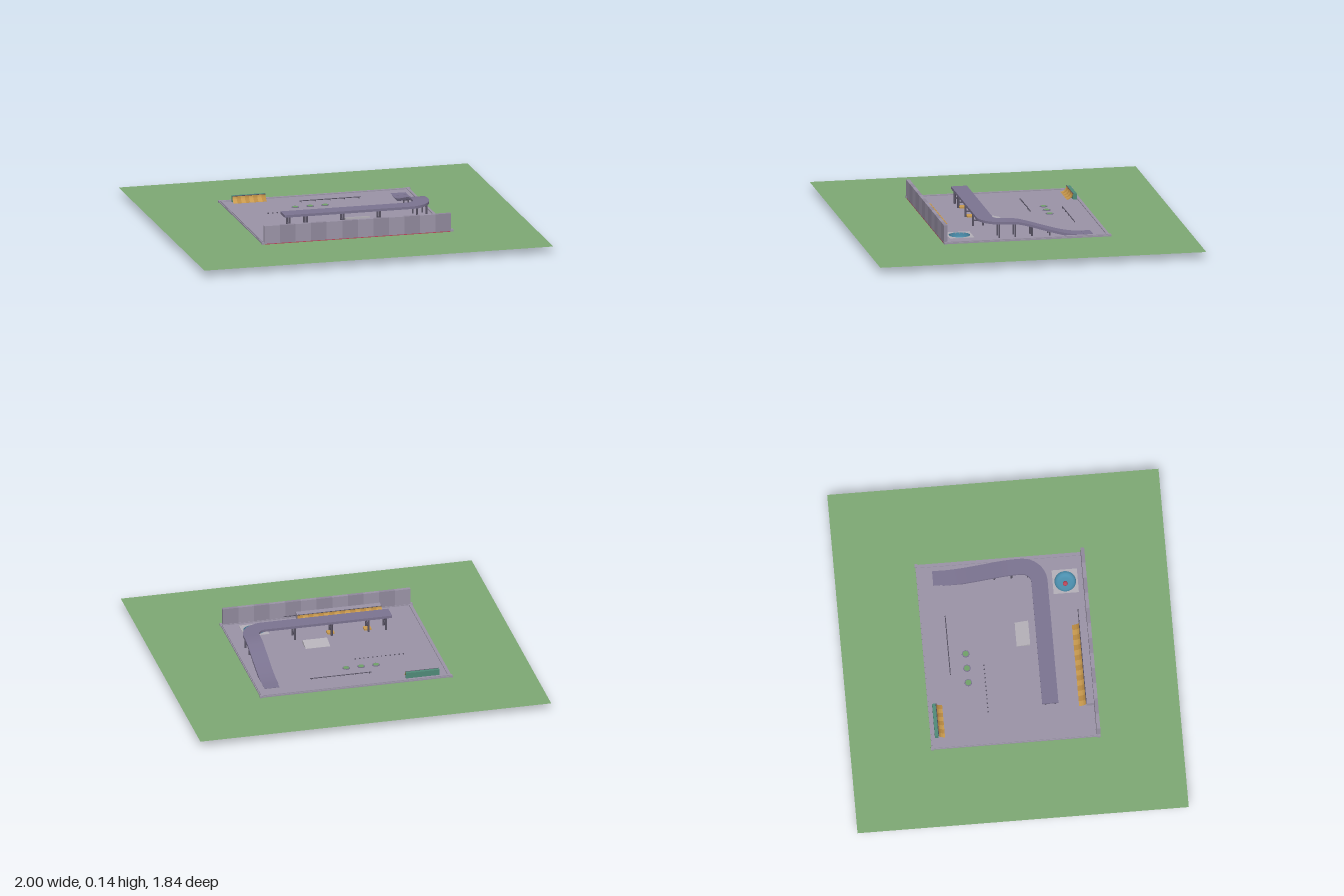
import * as THREE from 'three';
import { toCreasedNormals } from 'three/addons/utils/BufferGeometryUtils.js';

const mat = (color, side = THREE.FrontSide) => new THREE.MeshStandardMaterial({ color, side });
const V = (x, y, z) => new THREE.Vector3(x, y, z);
const FLOOR = 0.042;

// Rectangle (x0..x1, z0..z1) as a shape whose y axis is -z
function rect(x0, x1, z0, z1, Type = THREE.Shape) {
  const s = new Type();
  s.moveTo(x0, -z1); s.lineTo(x1, -z1); s.lineTo(x1, -z0); s.lineTo(x0, -z0); s.closePath();
  return s;
}

function circleHole(x, z, r) {
  const p = new THREE.Path();
  p.absarc(x, -z, r, 0, Math.PI * 2, true);
  return p;
}

// Extrudes a floor plan upwards from y0 to y1
function plan(shape, y0, y1) {
  const g = new THREE.ExtrudeGeometry(shape, { depth: y1 - y0, bevelEnabled: false, curveSegments: 24 });
  return g.rotateX(-Math.PI / 2).translate(0, y0, 0);
}

// Skins a list of cross-sections; closed ones get end caps
function loft(sections, closed) {
  const n = sections[0].length, index = [];
  for (let i = 0; i < sections.length - 1; i++) {
    for (let j = 0; j < (closed ? n : n - 1); j++) {
      const a = i * n + j, c = i * n + (j + 1) % n, b = a + n, d = c + n;
      index.push(a, b, c, c, b, d);
    }
  }
  if (closed) {
    const e = (sections.length - 1) * n;
    for (let j = 1; j < n - 1; j++) index.push(0, j, j + 1, e, e + j + 1, e + j);
  }
  const g = new THREE.BufferGeometry().setFromPoints(sections.flat());
  g.setIndex(index);
  return toCreasedNormals(g, 0.6);
}

export function createModel() {
  const model = new THREE.Group();
  const concrete = mat(0x9a93a6), dark = mat(0x7b7390), panel = mat(0x8f889b), pale = mat(0xb4b0b8);
  const orange = mat(0xc99a4e, THREE.DoubleSide), amber = mat(0xb98a42, THREE.DoubleSide);
  const teal = mat(0x4f8a78), steel = mat(0x5a5566), green = mat(0x6f9f68), red = mat(0xb8465a);

  const add = (name, geometry, material) => {
    const m = new THREE.Mesh(geometry, material);
    m.name = name;
    model.add(m);
    return m;
  };
  const box = (name, x0, x1, y0, y1, z0, z1, material) => add(name,
    new THREE.BoxGeometry(x1 - x0, y1 - y0, z1 - z0)
      .translate((x0 + x1) / 2, (y0 + y1) / 2, (z0 + z1) / 2), material);
  const post = (name, x, z, y1, r = 0.005) => add(name,
    new THREE.CylinderGeometry(r, r, y1 - FLOOR, 8).translate(x, (y1 + FLOOR) / 2, z), steel);

  // Lawn around the paved yard
  const lawn = rect(-1, 1, -0.92, 0.92);
  lawn.holes.push(rect(-0.54, 0.54, -0.46, 0.46, THREE.Path));
  add('lawn', new THREE.ShapeGeometry(lawn).rotateX(-Math.PI / 2).translate(0, 0.035, 0), mat(0x7da873, THREE.DoubleSide));

  // Paved slab with an opening for the bowl, and its kerb
  const slab = rect(-0.545, 0.545, -0.47, 0.465);
  slab.holes.push(circleHole(0.38, 0.35, 0.06));
  add('slab', plan(slab, 0.034, FLOOR), concrete);
  const kerb = rect(-0.54, 0.54, -0.465, 0.46);
  kerb.holes.push(rect(-0.525, 0.525, -0.45, 0.445, THREE.Path));
  add('kerb', plan(kerb, FLOOR, 0.047), concrete);
  for (const x of [-0.54, 0.54]) for (const z of [-0.465, 0.46]) {
    box('kerbCorner', x - 0.009, x + 0.009, 0.034, 0.047, z - 0.009, z + 0.009, concrete);
  }
  box('baseStripe', -0.545, 0.545, 0.035, 0.039, 0.464, 0.468, red);

  // Front wall made of alternating panels
  const panels = 12, pw = 1.07 / panels;
  for (let i = 0; i < panels; i++) {
    const x = -0.535 + i * pw;
    box('wallPanel', x, x + pw, 0.039, 0.14, 0.448, 0.468, i % 2 ? panel : concrete);
  }

  // Sunken bowl with its pale surround
  const profile = [[0, 0.001], [0.035, 0], [0.048, 0.004], [0.057, 0.013], [0.06, 0.024], [0.06, 0.043]];
  add('bowl', new THREE.LatheGeometry(profile.map(p => new THREE.Vector2(...p)), 32)
    .translate(0.38, 0, 0.35), mat(0x4b8fae, THREE.DoubleSide));
  const pad = rect(0.31, 0.45, 0.28, 0.42);
  pad.holes.push(circleHole(0.38, 0.35, 0.06));
  add('bowlSurround', plan(pad, FLOOR, 0.0435), pale);
  add('bowlKnob', new THREE.SphereGeometry(0.014, 16, 10).scale(1, 0.7, 1).translate(0.38, 0.008, 0.35), red);

  // Elevated deck that turns a corner and slopes to the floor
  const heights = new THREE.SplineCurve([[0.08, 0.134], [0.03, 0.128], [-0.04, 0.109], [-0.14, 0.078],
    [-0.22, 0.056], [-0.285, 0.045], [-0.33, 0.043]].map(p => new THREE.Vector2(...p)));
  const deckHalf = 0.045, sections = [];
  const section = (x, z, y, sx, sz) => {
    const low = Math.max(y - 0.014, 0.0415);
    sections.push([[1, y], [-1, y], [-1, low], [1, low]]
      .map(([k, h]) => V(x + k * sx * deckHalf, h, z + k * sz * deckHalf)));
  };
  section(-0.36, 0.205, 0.134, 0, 1);
  for (let i = 0; i <= 14; i++) {
    const a = Math.PI / 2 * (1 - i / 14);
    section(0.36 + 0.095 * Math.cos(a), 0.11 + 0.095 * Math.sin(a), 0.134, Math.cos(a), Math.sin(a));
  }
  for (let i = 0; i <= 24; i++) {
    const p = heights.getPoint(i / 24);
    section(0.455, p.x, p.y, 1, 0);
  }
  add('elevatedDeck', loft(sections, true), dark);
  box('deckLanding', 0.415, 0.5, 0.0415, 0.044, -0.38, -0.33, dark);

  // Supports below the deck: pairs with cross beams, then the slope posts
  for (const x of [-0.33, -0.23, -0.02, 0.19]) {
    for (const z of [0.18, 0.235]) post('deckPost', x, z, 0.124, 0.006);
    box('crossBeam', x - 0.004, x + 0.004, 0.07, 0.077, 0.18, 0.235, steel);
  }
  for (const x of [-0.23, -0.02]) box('postPlinth', x - 0.02, x + 0.02, FLOOR, 0.052, 0.195, 0.23, orange);
  for (const [z, h] of [[0.145, 0.124], [0.055, 0.122], [-0.04, 0.1], [-0.14, 0.068]]) {
    for (const x of [0.425, 0.48]) post('slopePost', x, z, h);
  }

  // Quarter pipes: curved planks running from a platform edge to the floor
  function quarterPipe(name, x0, x1, zTop, reach, height, count) {
    const w = (x1 - x0) / count;
    for (let i = 0; i < count; i++) {
      const edge = x => Array.from({ length: 9 }, (_, k) => {
        const t = Math.PI / 2 * k / 8;
        return V(x, FLOOR + 0.001 + height * (1 - Math.sin(t)), zTop + reach * (1 - Math.cos(t)));
      });
      const ends = [edge(x0 + i * w), edge(x0 + (i + 1) * w)];
      if (reach > 0) ends.reverse();
      add(name, loft(ends, false), i % 2 ? amber : orange);
    }
  }
  const rail = (name, x0, x1, y, z, r) => add(name,
    new THREE.CylinderGeometry(r, r, x1 - x0, 8).rotateZ(Math.PI / 2).translate((x0 + x1) / 2, y, z), steel);

  quarterPipe('frontQuarterPipe', -0.36, 0.12, 0.405, -0.04, 0.034, 16);
  box('frontPlatform', -0.36, 0.12, FLOOR, 0.076, 0.406, 0.448, concrete);
  rail('frontCoping', -0.36, 0.2, 0.076, 0.405, 0.002);
  quarterPipe('backQuarterPipe', -0.48, -0.29, -0.425, 0.035, 0.035, 8);
  box('backPlatform', -0.48, -0.29, FLOOR, 0.077, -0.446, -0.426, teal);
  rail('backCoping', -0.48, -0.29, 0.077, -0.425, 0.002);

  // Pale inset panels under the platforms
  for (let i = 0; i < 4; i++) box('underPanel', -0.355 + i * 0.12, -0.25 + i * 0.12, 0.0335, 0.035, 0.41, 0.443, pale);
  box('underPanel', -0.47, -0.3, 0.0335, 0.035, -0.445, -0.425, amber);

  // Kicker wedge
  const kicker = [0.02, 0.16].map(x => [V(x, 0.061, 0.125), V(x, FLOOR + 0.001, 0.05), V(x, FLOOR, 0.05), V(x, FLOOR, 0.125)]);
  add('kicker', loft(kicker, true), pale);

  // Round planters, grind rail and row of studs
  for (const x of [-0.17, -0.085, 0]) {
    add('planterRim', new THREE.CylinderGeometry(0.022, 0.022, 0.003, 8).translate(x, 0.0435, -0.235), dark);
    add('planterGrass', new THREE.CylinderGeometry(0.017, 0.017, 0.004, 8).translate(x, 0.0442, -0.235), green);
  }
  rail('grindRail', -0.12, 0.23, 0.05, -0.33, 0.0025);
  for (let i = 0; i < 5; i++) post('railLeg', -0.11 + i * 0.0825, -0.33, 0.05, 0.002);
  for (let i = 0; i < 12; i++) post('stud', -0.35 + i * 0.025, -0.14, 0.047, 0.004);

  return model;
}
